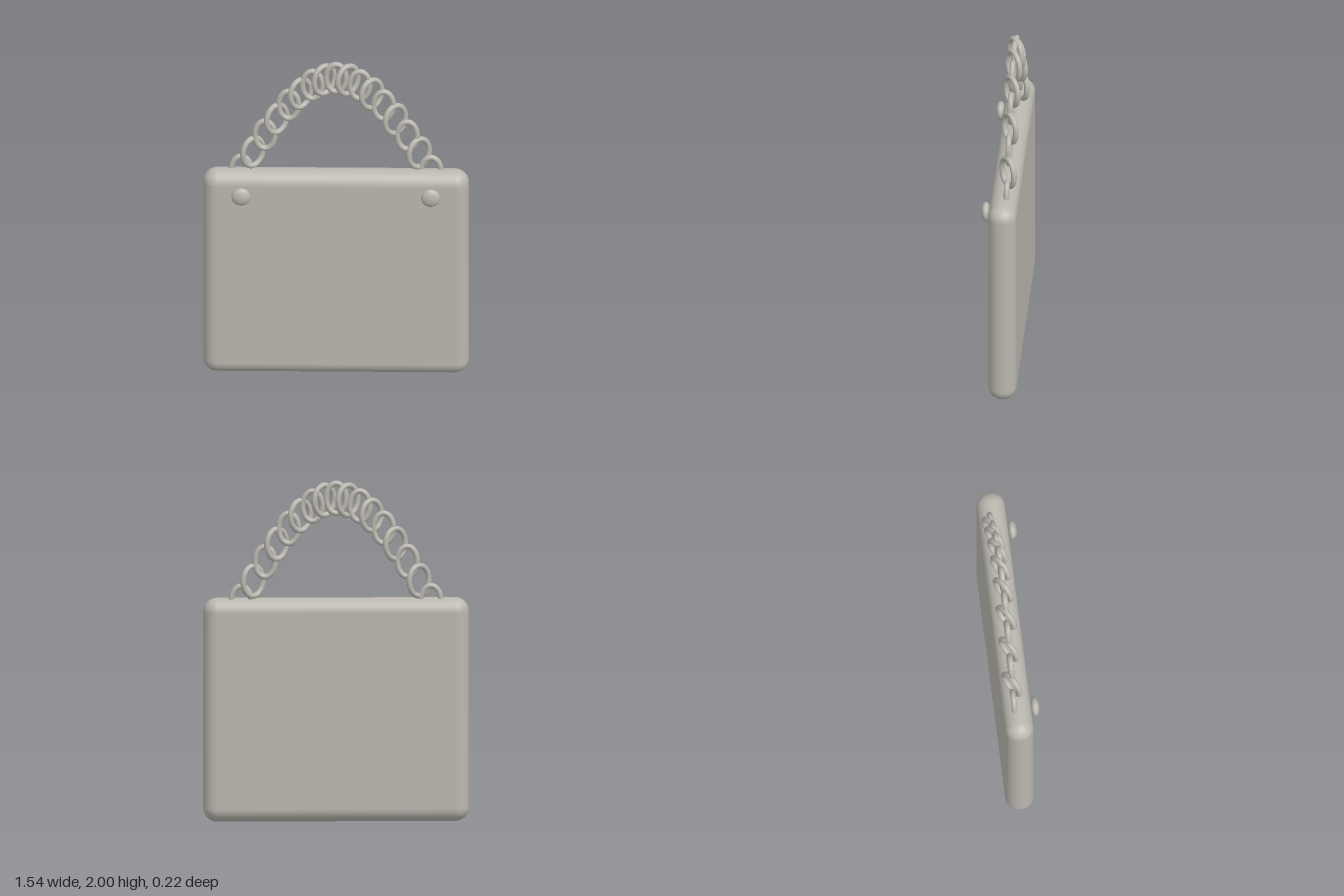
import * as THREE from 'three';
import { RoundedBoxGeometry } from 'three/addons/geometries/RoundedBoxGeometry.js';

const LINKS = 17;
const HALF_SPAN = 0.55;

// Oval chain link: a round tube swept along an upright ellipse
function linkGeometry(halfWidth, halfHeight, tube) {
  const points = [];
  for (let i = 0; i < 24; i++) {
    const a = (i / 24) * Math.PI * 2;
    points.push(new THREE.Vector3(Math.cos(a) * halfWidth, Math.sin(a) * halfHeight, 0));
  }
  const path = new THREE.CatmullRomCurve3(points, true);
  return new THREE.TubeGeometry(path, 48, tube, 12, true);
}

export function createModel() {
  const model = new THREE.Group();
  model.name = 'handbag';
  const grey = new THREE.MeshStandardMaterial({ color: 0xbab7af });
  grey.name = 'warmGrey';

  // Slim bag with fully rounded edges
  const body = new THREE.Mesh(new RoundedBoxGeometry(1.54, 1.31, 0.165, 8, 0.081), grey);
  body.name = 'bagBody';
  body.position.set(0, 0.655, -0.0275);
  model.add(body);

  // Flattened round studs on the front
  const studGeometry = new THREE.SphereGeometry(0.055, 32, 20);
  for (const side of [-1, 1]) {
    const stud = new THREE.Mesh(studGeometry, grey);
    stud.name = side > 0 ? 'leftStud' : 'rightStud';
    stud.scale.z = 0.5;
    stud.position.set(side * HALF_SPAN, 1.18, 0.08);
    model.add(stud);
  }

  // Chain handle: flat and turned links alternate along a sine arch
  const chain = new THREE.Group();
  chain.name = 'chainHandle';
  const flatLink = linkGeometry(0.0575, 0.088, 0.0165);
  const turnedLink = linkGeometry(0.0695, 0.088, 0.0165);
  for (let i = 0; i < LINKS; i++) {
    const t = i / (LINKS - 1);
    const turned = i % 2 === 1;
    const link = new THREE.Mesh(turned ? turnedLink : flatLink, grey);
    link.name = 'chainLink' + (i + 1);
    link.position.set((t * 2 - 1) * HALF_SPAN, 1.293 + 0.602 * Math.sin(Math.PI * t), -0.045);
    link.rotation.y = turned ? 0.6 : 0;
    chain.add(link);
  }
  model.add(chain);

  return model;
}
